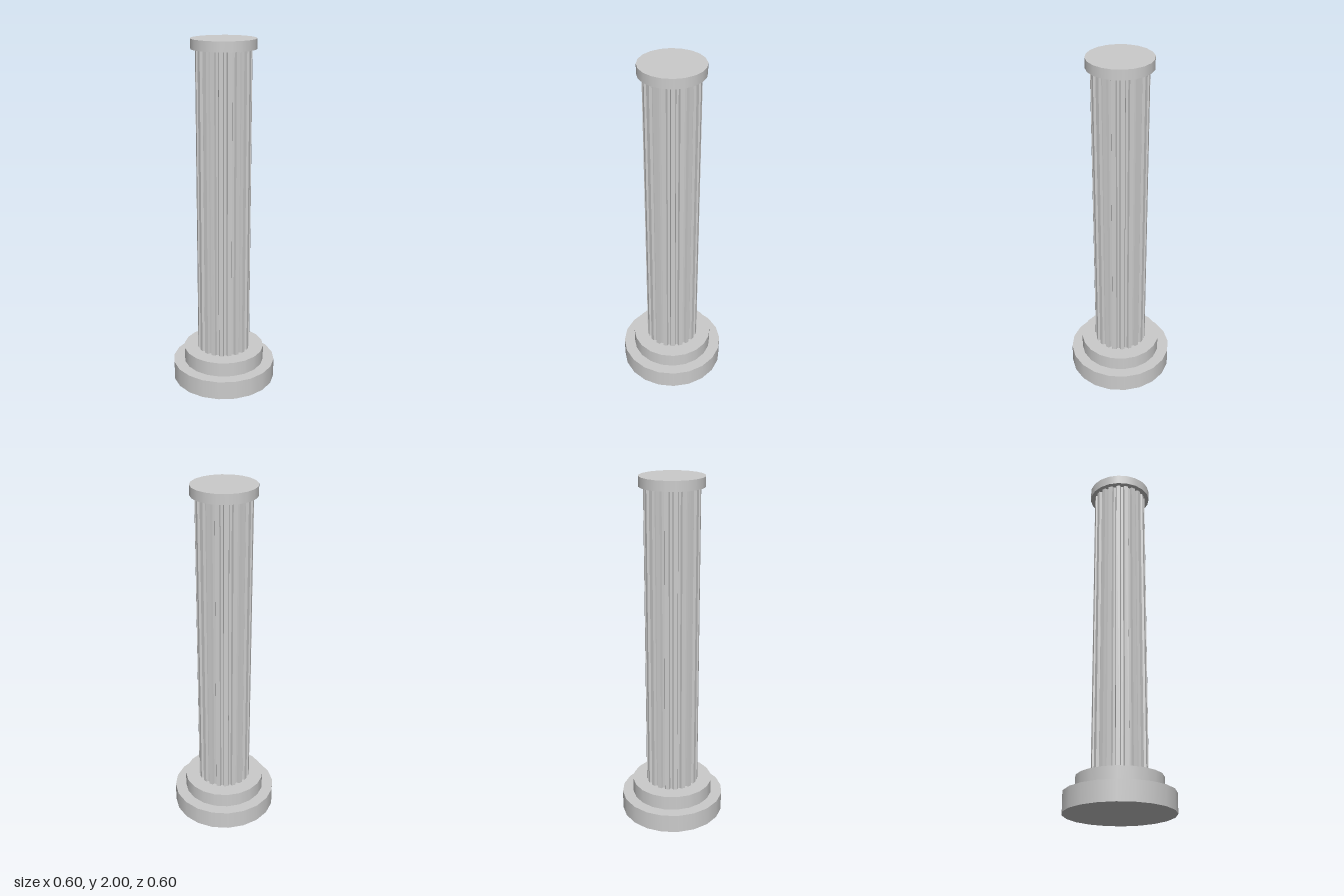
import * as THREE from 'three';

const SIDES = 20;
const TURN = THREE.MathUtils.degToRad(7.6);

export function createModel() {
  const column = new THREE.Group();
  column.name = 'column';
  const stone = new THREE.MeshStandardMaterial({ color: 0xcccccc });
  const flatStone = new THREE.MeshStandardMaterial({ color: 0xcccccc, flatShading: true });

  // Round slab between two heights
  function addSlab(name, radius, bottom, top) {
    const slab = new THREE.Mesh(
      new THREE.CylinderGeometry(radius, radius, top - bottom, SIDES, 1, false, TURN), stone);
    slab.name = name;
    slab.position.y = (bottom + top) / 2;
    column.add(slab);
  }

  addSlab('basePlinth', 0.301, 0, 0.11);
  addSlab('baseStep', 0.236, 0.11, 0.195);
  addSlab('capital', 0.179, 1.945, 2);

  // Fluted shaft: each flute is a flat ridge followed by a narrower groove
  const ridge = 0.153, groove = 0.139;
  const flute = [[-0.24, ridge], [0.24, ridge], [0.36, groove], [0.64, groove]];
  const outline = [];
  for (let i = 0; i < SIDES; i++) {
    for (const [offset, radius] of flute) {
      const angle = ((i + offset) / SIDES) * Math.PI * 2 + TURN;
      outline.push(new THREE.Vector2(Math.cos(angle) * radius, Math.sin(angle) * radius));
    }
  }
  const shaftGeometry = new THREE.ExtrudeGeometry(new THREE.Shape(outline), {
    depth: 1.75, bevelEnabled: false,
  });
  shaftGeometry.rotateX(-Math.PI / 2);
  const shaft = new THREE.Mesh(shaftGeometry, flatStone);
  shaft.name = 'flutedShaft';
  shaft.position.y = 0.195;
  column.add(shaft);

  return column;
}
